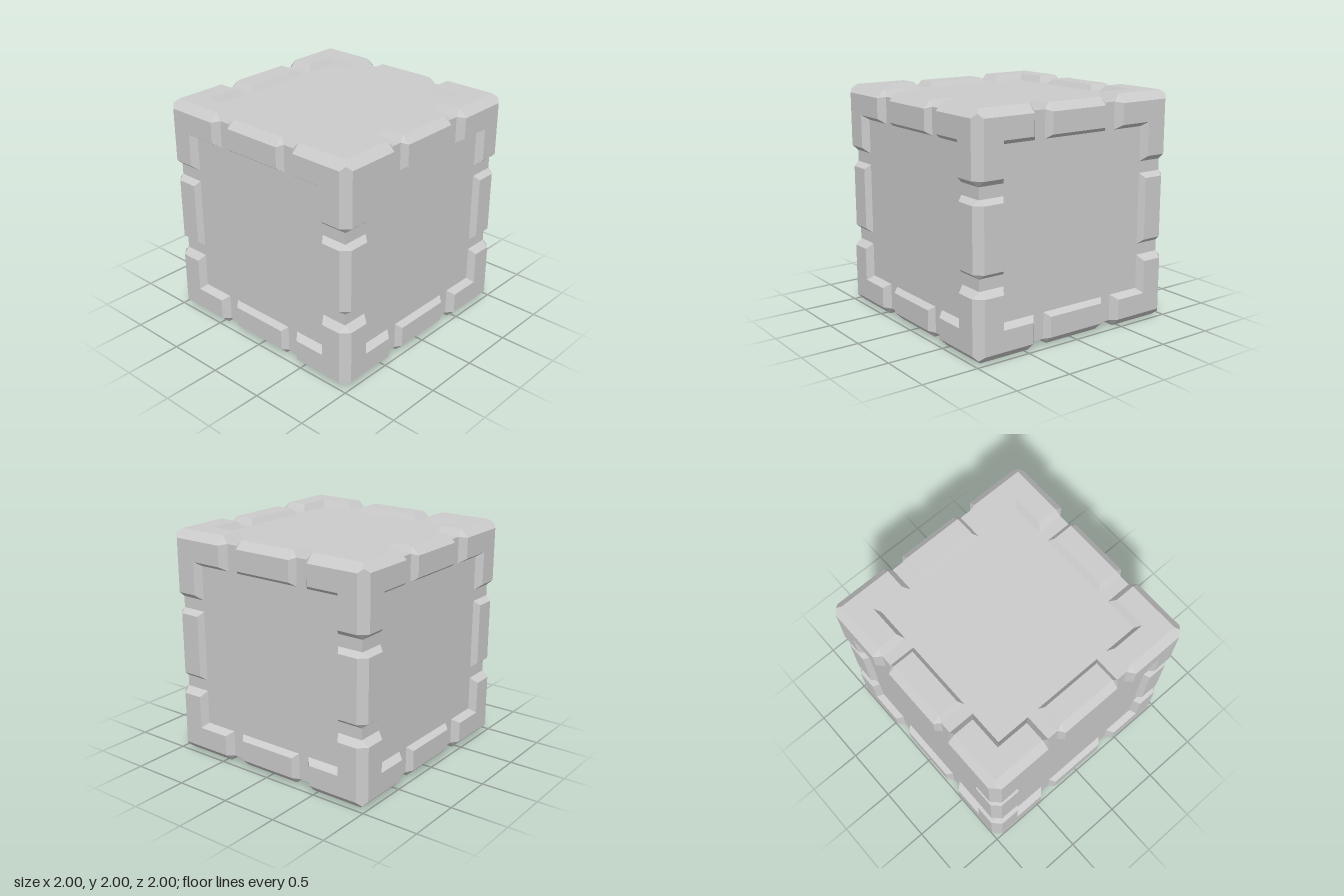
import * as THREE from 'three';

const material = new THREE.MeshStandardMaterial({ color: 0xcccccc, flatShading: true });
const CORE = 0.94; // half size of the plain box
const BASE = 0.71; // inner foot of the raised trim

// Cross-section of the trim wrapped around a box edge, as [u, v, raised]
function edgeProfile(inner, chamfer, top) {
  const mid = (chamfer + top) / 2;
  return [
    [BASE, CORE, false], [inner, top, true], [chamfer, top, true], [mid, mid, true],
    [top, chamfer, true], [top, inner, true], [CORE, BASE, false],
  ];
}

// Collects triangles between two rings, with fans closing the bevelled ends
function loft(lo, hi, tipLo, tipHi) {
  const tris = [];
  for (let i = 0; i < lo.length - 1; i++) {
    tris.push([lo[i], hi[i], hi[i + 1]], [lo[i], hi[i + 1], lo[i + 1]]);
    if (tipLo) tris.push([tipLo, lo[i], lo[i + 1]]);
    if (tipHi) tris.push([tipHi, hi[i + 1], hi[i]]);
  }
  return tris;
}

// Turns (u, v, w) triangles onto a chosen axis and mirrors them by signs
function place(tris, axis, signs) {
  const flip = signs[0] * signs[1] * signs[2] < 0;
  const out = [];
  for (const [a, b, c] of tris) {
    for (const p of flip ? [a, c, b] : [a, b, c]) {
      const q = [0, 0, 0];
      for (let k = 0; k < 3; k++) q[(axis + 1 + k) % 3] = p[k];
      out.push(...q.map((n, k) => n * signs[k]));
    }
  }
  return out;
}

function addMesh(group, name, positions) {
  const geometry = new THREE.BufferGeometry();
  geometry.setAttribute('position', new THREE.Float32BufferAttribute(positions, 3));
  geometry.computeVertexNormals();
  const mesh = new THREE.Mesh(geometry, material);
  mesh.name = name;
  group.add(mesh);
}

export function createModel() {
  const model = new THREE.Group();
  model.name = 'crate';
  const body = new THREE.Group();
  body.name = 'body';
  body.position.y = 1;
  model.add(body);

  // Plain box
  const core = new THREE.Mesh(new THREE.BoxGeometry(2 * CORE, 2 * CORE, 2 * CORE), material);
  core.name = 'core';
  body.add(core);

  // Corner guards: three arms mitred together at each corner
  const cornerProfile = edgeProfile(0.75, 0.93, 1);
  const arm = loft(
    cornerProfile.map(([u, v, raised]) => [u, v, raised ? 0.46 : 0.41]),
    cornerProfile.map(([u, v]) => [u, v, Math.min(u, v)]),
    [CORE, CORE, 0.41], null,
  );
  for (const x of [-1, 1]) for (const y of [-1, 1]) for (const z of [-1, 1]) {
    const positions = [];
    for (let axis = 0; axis < 3; axis++) positions.push(...place(arm, axis, [x, y, z]));
    addMesh(body, 'cornerGuard', positions);
  }

  // Edge bars: one short block in the middle of each of the twelve edges
  const barProfile = edgeProfile(0.745, 0.925, 0.99);
  const ring = (s) => barProfile.map(([u, v, raised]) => [u, v, s * (raised ? 0.27 : 0.31)]);
  const bar = loft(ring(-1), ring(1), [CORE, CORE, -0.31], [CORE, CORE, 0.31]);
  for (let axis = 0; axis < 3; axis++) for (const a of [-1, 1]) for (const b of [-1, 1]) {
    const signs = [1, 1, 1];
    signs[(axis + 1) % 3] = a;
    signs[(axis + 2) % 3] = b;
    addMesh(body, 'edgeBar', place(bar, axis, signs));
  }

  return model;
}
